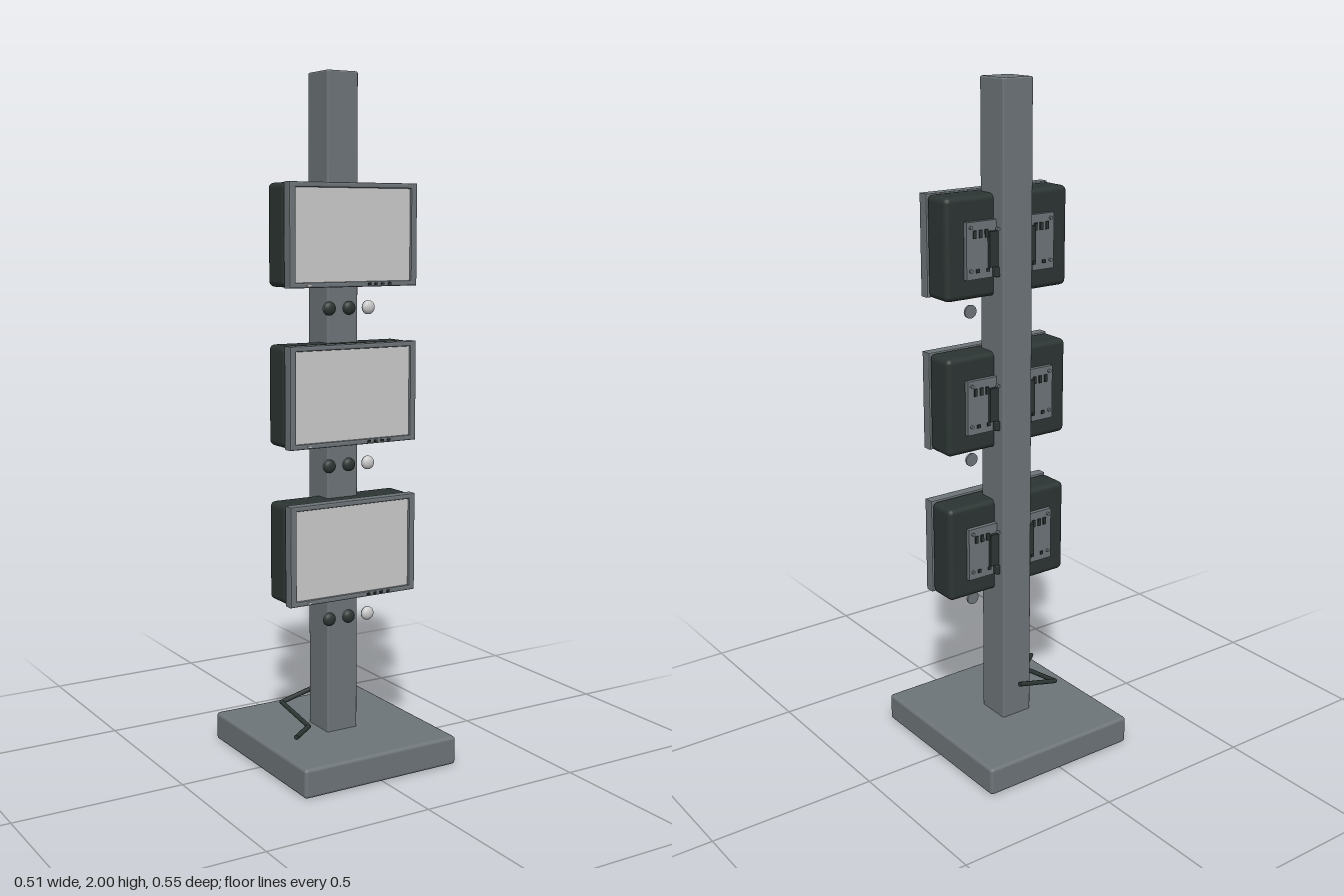
import * as THREE from 'three';
import { RoundedBoxGeometry } from 'three/addons/geometries/RoundedBoxGeometry.js';

export function createModel() {
  const model = new THREE.Group();
  model.name = 'monitorStand';

  const material = (name, color) => {
    const m = new THREE.MeshStandardMaterial({ color });
    m.name = name;
    return m;
  };
  const grey = material('grey metal', 0x6e7579);
  const dark = material('dark plastic', 0x2c3533);
  const light = material('light screen', 0xcbcbcb);

  const add = (parent, name, geometry, mat, x = 0, y = 0, z = 0) => {
    const mesh = new THREE.Mesh(geometry, mat);
    mesh.name = name;
    mesh.position.set(x, y, z);
    parent.add(mesh);
    return mesh;
  };
  const box = (w, h, d) => new THREE.BoxGeometry(w, h, d);
  const rounded = (w, h, d, r) => new RoundedBoxGeometry(w, h, d, 3, r);

  // Base and post
  add(model, 'base', rounded(0.51, 0.085, 0.552, 0.01), grey, 0, 0.0425, -0.001);
  add(model, 'post', rounded(0.102, 1.925, 0.108, 0.005), grey, 0, 1.0375, -0.002);

  // Front frame with a rectangular opening
  const rect = (path, w, h) => {
    path.moveTo(-w / 2, -h / 2);
    path.lineTo(w / 2, -h / 2);
    path.lineTo(w / 2, h / 2);
    path.lineTo(-w / 2, h / 2);
    path.closePath();
    return path;
  };
  const frameShape = rect(new THREE.Shape(), 0.412, 0.282);
  frameShape.holes.push(rect(new THREE.Path(), 0.388, 0.268));
  const frameGeo = new THREE.ExtrudeGeometry(frameShape, {
    depth: 0.026, bevelEnabled: true, bevelThickness: 0.004, bevelSize: 0.004, bevelSegments: 2,
  });

  // Domed knob: flat grey back, coloured dome in front
  const domeGeo = new THREE.SphereGeometry(0.02, 24, 8, 0, Math.PI * 2, 0, Math.PI / 2);
  domeGeo.scale(1, 0.65, 1).rotateX(Math.PI / 2);
  const discGeo = new THREE.CylinderGeometry(0.02, 0.02, 0.004, 24).rotateX(Math.PI / 2);
  const screwGeo = new THREE.CylinderGeometry(0.005, 0.005, 0.009, 12).rotateX(Math.PI / 2);

  // One display with its rear fittings and knobs, centred on its screen
  function makeMonitor() {
    const g = new THREE.Group();
    g.name = 'monitor';
    add(g, 'rearShell', rounded(0.42, 0.288, 0.096, 0.016), dark, 0, 0, 0.037);
    add(g, 'bezel', frameGeo, grey, 0, 0, 0.088);
    add(g, 'bezelBacking', box(0.408, 0.278, 0.012), grey, 0, 0, 0.091);
    add(g, 'screen', box(0.386, 0.266, 0.01), light, 0, 0, 0.105);

    // Buttons and indicator under the screen
    for (const x of [0.048, 0.07, 0.092, 0.115])
      add(g, 'button', box(0.009, 0.006, 0.006), dark, x, -0.137, 0.119);
    add(g, 'indicator', box(0.012, 0.005, 0.004), light, -0.15, -0.139, 0.119);

    // Rear plate, mount, slots and screws
    add(g, 'rearPlate', box(0.302, 0.16, 0.016), grey, 0, -0.005, -0.016);
    add(g, 'mount', box(0.16, 0.1, 0.012), dark, 0, -0.005, -0.028);
    for (const s of [-1, 1]) {
      add(g, 'mountClip', rounded(0.022, 0.028, 0.018, 0.003), dark, s * 0.053, -0.07, -0.031);
      add(g, 'mountScrew', screwGeo, grey, s * 0.055, 0.05, -0.036);
      for (const x of [0.085, 0.105, 0.125])
        add(g, 'slot', box(0.01, 0.022, 0.006), dark, s * x, 0.04, -0.025);
      for (const y of [-0.06, 0.06])
        add(g, 'plateScrew', screwGeo, grey, s * 0.138, y, -0.026);
      for (const x of [0.08, 0.115])
        add(g, 'socket', box(0.01, 0.01, 0.006), dark, s * x, -0.062, -0.025);
    }

    // Knobs below the frame
    [dark, dark, light].forEach((mat, i) => {
      const x = (i - 1) * 0.065;
      add(g, 'knobBack', discGeo, grey, x, -0.205, 0.084);
      add(g, 'knob', domeGeo, mat, x, -0.205, 0.086);
    });
    return g;
  }

  for (let i = 0; i < 3; i++) {
    const m = makeMonitor();
    m.position.y = 0.645 + i * 0.45;
    model.add(m);
  }

  // Bent cable beside the foot of the post
  const points = [[0, 0.19, -0.071], [-0.138, 0.157, -0.071], [-0.138, 0.132, 0.09], [-0.213, 0.132, 0.15]]
    .map((p) => new THREE.Vector3(...p));
  const cable = new THREE.Group();
  cable.name = 'cable';
  model.add(cable);
  for (let i = 0; i < 3; i++) {
    const line = new THREE.LineCurve3(points[i], points[i + 1]);
    add(cable, 'cableSection', new THREE.CylinderGeometry(0.007, 0.007, line.getLength(), 12), dark)
      .quaternion.setFromUnitVectors(new THREE.Vector3(0, 1, 0), line.getTangent(0));
    cable.children.at(-1).position.copy(line.getPoint(0.5));
    if (i) add(cable, 'cableBend', new THREE.SphereGeometry(0.007, 12, 8), dark, ...points[i].toArray());
  }

  return model;
}
